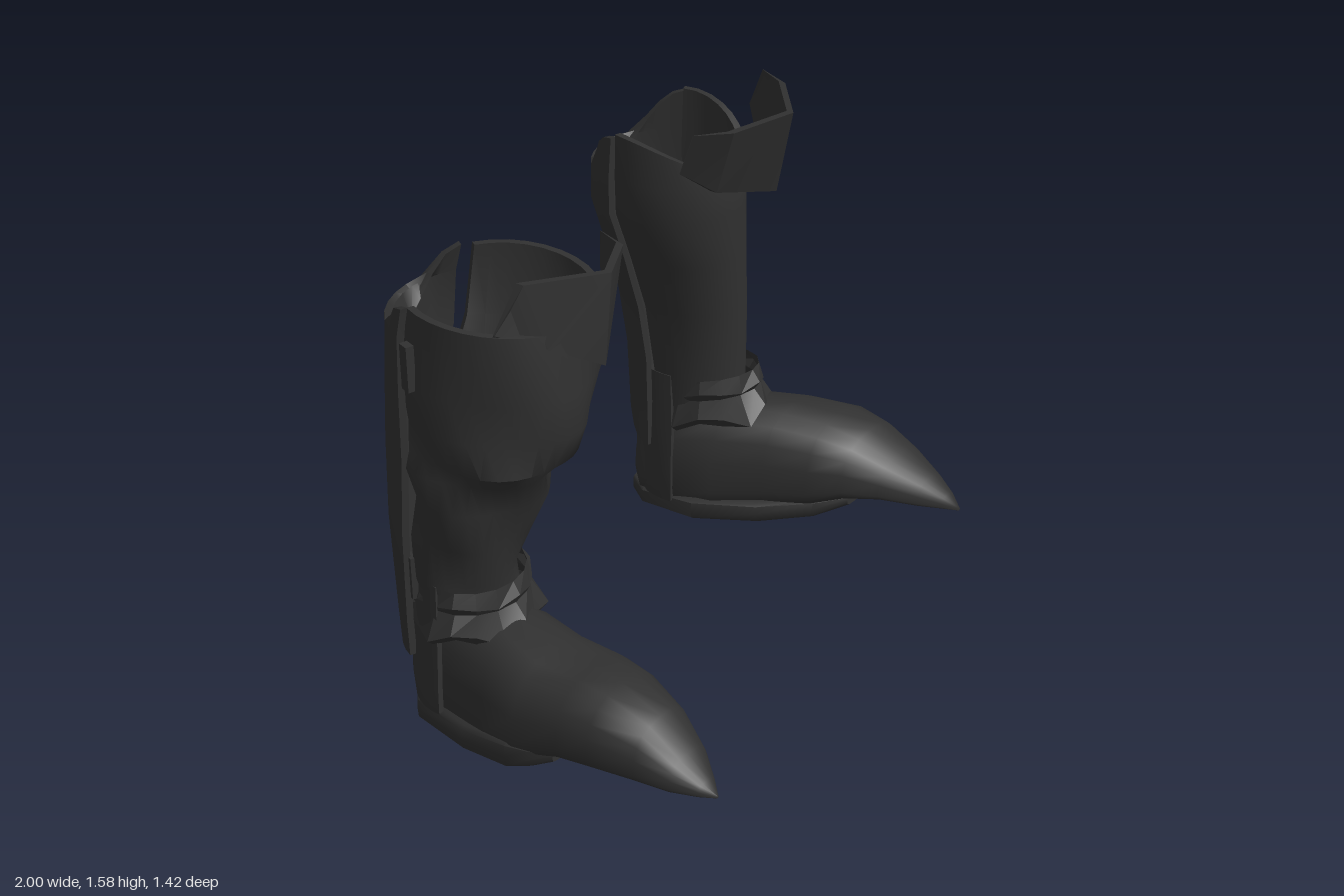
import * as THREE from 'three';
import { toCreasedNormals } from 'three/addons/utils/BufferGeometryUtils.js';

const leather = new THREE.MeshStandardMaterial({ color: 0x303030, side: THREE.DoubleSide });
leather.name = 'black leather';

// Skin a list of closed loops (each an array of [x, y, z]).
function skin(name, loops, crease = 0.8) {
  const n = loops[0].length, index = [];
  for (let i = 0; i < loops.length - 1; i++)
    for (let j = 0; j < n; j++) {
      const a = i * n + j, b = i * n + (j + 1) % n;
      index.push(a, b, a + n, b, b + n, a + n);
    }
  const g = new THREE.BufferGeometry();
  g.setAttribute('position', new THREE.Float32BufferAttribute(loops.flat(2), 3));
  g.setIndex(index);
  const mesh = new THREE.Mesh(toCreasedNormals(g, crease), leather);
  mesh.name = name;
  return mesh;
}

const rad = THREE.MathUtils.degToRad;
const spow = (v, p) => Math.sign(v) * Math.abs(v) ** p;

// Foot or sole: sections [z, centreX, halfWidth, bottomY, topY] along z.
function foot(name, sections, power, waist) {
  const n = 20;
  const loops = sections.map(([z, cx, hw, yb, yt]) => {
    const h = yt - yb;
    return Array.from({ length: n }, (_, j) => {
      const a = (j / n) * Math.PI * 2, s = Math.sin(a);
      return [cx + hw * spow(Math.cos(a), power),
        yb + h * waist + h * (s > 0 ? 1 - waist : waist) * spow(s, power), z];
    });
  });
  const cap = l => {
    const c = [0, 1, 2].map(k => l.reduce((t, p) => t + p[k], 0) / n);
    return l.map(() => c);
  };
  return skin(name, [cap(loops[0]), ...loops, cap(loops[loops.length - 1])]);
}

// Curved leather panel: rows [y, cx, cz, rx, rz] bottom to top, angle 0 = front.
function panel(name, rows, from, to, { grow = 0, dip = 0, rise = 0, fold = 0, thick = 0.022 } = {}) {
  const n = Math.max(6, Math.round((to - from) / 11)), columns = [];
  const top = rows.length - 1;
  for (let j = -1; j <= n + 1; j++) {
    const u = THREE.MathUtils.clamp(j / n, 0, 1), a = rad(from + (to - from) * u);
    const t = j < 0 || j > n ? 0 : thick;
    const point = ([y, cx, cz, rx, rz], i, inset) => {
      const bulge = Math.sin(Math.PI * u) ** 2;
      const r = grow - inset + (i > 0 && i < top ? fold * Math.sin(4 * a + i * 2.3) : 0);
      const dy = i === top ? -dip * bulge : i === 0 ? rise * bulge : 0;
      return [cx + (rx + r) * Math.sin(a), y + dy, cz + (rz + r) * Math.cos(a)];
    };
    columns.push([...rows.map((r, i) => point(r, i, 0)),
      ...rows.map((r, i) => point(r, i, t)).reverse()]);
  }
  return skin(name, columns, 0.7);
}

// Standing knee cuff from pairs of top and bottom edge points.
function cuff(edge) {
  const t = 0.025;
  return skin('kneeCuff', edge.map(([a, b], i) => {
    const back = i === 0 || i === edge.length - 1 ? 0.004 : t;
    return [a, b, [b[0], b[1], b[2] - back], [a[0], a[1], a[2] - back]];
  }), 0.5);
}

// Crumpled collar round the ankle, with a ragged lower edge.
function collar(cx, y, cz, rx, rz, tilt) {
  const n = 16;
  const loops = [[0.09, 0.9, 0], [0.04, 1.0, 0.05], [0.02, 0.94, 0], [-0.05, 1.14, 0.1], [-0.08, 0.98, 0.06]]
    .map(([dy, s, rag], i) => Array.from({ length: n }, (_, j) => {
      const a = (j / n) * Math.PI * 2, r = s + rag * Math.sin(j * 2.4 + i);
      return [cx + rx * r * Math.sin(a), y + dy + tilt * Math.cos(a) + rag * 0.25 * Math.cos(j * 1.9),
        cz + rz * r * Math.cos(a)];
    }));
  return skin('ankleFolds', loops, 0.3);
}

function buckle(x, y, z, h, yaw) {
  const m = new THREE.Mesh(new THREE.BoxGeometry(0.025, h, 0.036), leather);
  m.position.set(x, y, z);
  m.rotation.y = yaw;
  m.name = 'buckle';
  return m;
}

export function createModel() {
  const model = new THREE.Group();
  model.name = 'pairOfBoots';

  // Right boot: pointing straight ahead, with a slouched shin.
  const right = new THREE.Group();
  right.name = 'rightBoot';
  const shinR = [
    [0.47, -0.78, -0.22, 0.15, 0.15], [0.55, -0.78, -0.23, 0.155, 0.155], [0.7, -0.78, -0.21, 0.17, 0.19],
    [0.83, -0.755, -0.19, 0.195, 0.21], [0.93, -0.755, -0.18, 0.2, 0.235], [0.98, -0.745, -0.165, 0.21, 0.285],
    [1.08, -0.72, -0.16, 0.23, 0.3], [1.2, -0.675, -0.155, 0.28, 0.3], [1.43, -0.66, -0.15, 0.285, 0.28]];
  const calfR = [
    [0.28, -0.79, -0.24, 0.16, 0.17], [0.4, -0.79, -0.24, 0.16, 0.18], [0.7, -0.78, -0.22, 0.17, 0.225],
    [0.95, -0.75, -0.19, 0.2, 0.265], [1.18, -0.69, -0.17, 0.27, 0.29], [1.35, -0.68, -0.17, 0.275, 0.28],
    [1.44, -0.68, -0.16, 0.27, 0.26]];
  const strapR = [
    [0.13, -0.78, -0.2, 0.2, 0.18], [0.2, -0.78, -0.2, 0.2, 0.19],
    [0.35, -0.78, -0.21, 0.18, 0.18], [0.55, -0.78, -0.22, 0.16, 0.165]];
  right.add(
    foot('foot', [
      [-0.39, -0.77, 0.08, 0.08, 0.28], [-0.34, -0.77, 0.135, 0.04, 0.35], [-0.2, -0.77, 0.16, 0.03, 0.41],
      [-0.03, -0.785, 0.185, 0.04, 0.43], [0.1, -0.79, 0.2, 0.08, 0.385], [0.25, -0.79, 0.185, 0.135, 0.385],
      [0.36, -0.8, 0.17, 0.155, 0.38], [0.5, -0.805, 0.13, 0.157, 0.33], [0.6, -0.812, 0.09, 0.155, 0.25],
      [0.67, -0.818, 0.04, 0.152, 0.19], [0.71, -0.82, 0.004, 0.15, 0.157]], 0.8, 0.25),
    foot('sole', [
      [-0.385, -0.76, 0.1, 0.02, 0.1], [-0.33, -0.76, 0.16, 0, 0.1], [-0.1, -0.78, 0.2, 0.025, 0.13],
      [0.08, -0.785, 0.215, 0.055, 0.17], [0.16, -0.785, 0.2, 0.09, 0.17], [0.23, -0.79, 0.17, 0.13, 0.17]], 0.4, 0.5),
    panel('shinPanel', shinR, -114, 148, { fold: 0.012, dip: 0.04 }),
    panel('calfPanel', calfR, 152, 250, { grow: 0.02, dip: 0.16 }),
    panel('innerAnkleStrap', strapR, 85, 145),
    panel('outerAnkleStrap', strapR, -145, -85),
    collar(-0.77, 0.45, -0.21, 0.18, 0.17, 0),
    cuff([
      [[-0.89, 1.42, 0.02], [-0.87, 1.38, 0]],
      [[-0.81, 1.55, 0.06], [-0.78, 1.36, 0.11]],
      [[-0.58, 1.53, 0.175], [-0.6, 1.25, 0.165]],
      [[-0.42, 1.525, 0.09], [-0.46, 1.38, 0.08]],
      [[-0.38, 1.52, -0.02], [-0.37, 1.4, -0.03]]]),
    buckle(-0.955, 1.27, -0.24, 0.14, -0.3),
    buckle(-0.93, 0.55, -0.3, 0.14, -0.4));

  // Left boot: toe turned outward, smooth upright shin.
  const left = new THREE.Group();
  left.name = 'leftBoot';
  const shinL = [
    [0.4, 0.605, -0.44, 0.155, 0.2], [0.55, 0.605, -0.44, 0.155, 0.205], [0.8, 0.59, -0.45, 0.17, 0.225],
    [1.0, 0.555, -0.455, 0.2, 0.24], [1.18, 0.522, -0.46, 0.232, 0.255], [1.3, 0.522, -0.46, 0.235, 0.255],
    [1.45, 0.525, -0.46, 0.235, 0.245]];
  const calfL = [
    [0.28, 0.59, -0.43, 0.165, 0.175], [0.35, 0.59, -0.43, 0.16, 0.19], [0.6, 0.595, -0.44, 0.155, 0.2],
    [0.8, 0.585, -0.45, 0.17, 0.21], [1.0, 0.555, -0.455, 0.2, 0.225], [1.18, 0.522, -0.46, 0.232, 0.235],
    [1.3, 0.522, -0.46, 0.235, 0.228], [1.44, 0.525, -0.46, 0.23, 0.2]];
  const strapL = [
    [0.09, 0.58, -0.41, 0.175, 0.2], [0.2, 0.585, -0.41, 0.18, 0.2],
    [0.35, 0.595, -0.42, 0.17, 0.2], [0.55, 0.605, -0.44, 0.158, 0.205]];
  left.add(
    foot('foot', [
      [-0.58, 0.55, 0.07, 0.08, 0.27], [-0.52, 0.55, 0.13, 0.05, 0.35], [-0.4, 0.58, 0.165, 0.04, 0.41],
      [-0.25, 0.645, 0.19, 0.05, 0.44], [-0.1, 0.745, 0.2, 0.07, 0.42], [0.05, 0.79, 0.205, 0.11, 0.405],
      [0.15, 0.825, 0.175, 0.145, 0.36], [0.25, 0.86, 0.135, 0.15, 0.285], [0.35, 0.895, 0.08, 0.125, 0.21],
      [0.41, 0.917, 0.04, 0.112, 0.155], [0.45, 0.93, 0.004, 0.1, 0.11]], 0.8, 0.25),
    foot('sole', [
      [-0.575, 0.55, 0.09, 0.035, 0.1], [-0.5, 0.55, 0.14, 0.03, 0.1], [-0.3, 0.6, 0.18, 0.03, 0.12],
      [-0.1, 0.7, 0.185, 0.045, 0.13], [0.06, 0.77, 0.15, 0.075, 0.15], [0.15, 0.81, 0.11, 0.12, 0.16]], 0.4, 0.5),
    panel('shinPanel', shinL, -99, 114, { dip: 0.13 }),
    panel('calfPanel', calfL, 117, 258, { grow: 0.02, dip: 0.19, rise: 0.05 }),
    panel('outerAnkleStrap', strapL, 75, 143),
    panel('innerAnkleStrap', strapL, -143, -80),
    collar(0.62, 0.44, -0.38, 0.165, 0.21, 0.04),
    cuff([
      [[0.3, 1.52, -0.2], [0.3, 1.38, -0.25]],
      [[0.37, 1.53, -0.1], [0.38, 1.31, -0.17]],
      [[0.57, 1.55, -0.02], [0.59, 1.26, -0.09]],
      [[0.7, 1.575, -0.14], [0.7, 1.28, -0.2]],
      [[0.74, 1.58, -0.25], [0.785, 1.43, -0.33]]]),
    buckle(0.735, 1.27, -0.6, 0.14, 0.6),
    buckle(0.74, 0.55, -0.565, 0.14, 0.6));

  model.add(right, left);
  return model;
}
